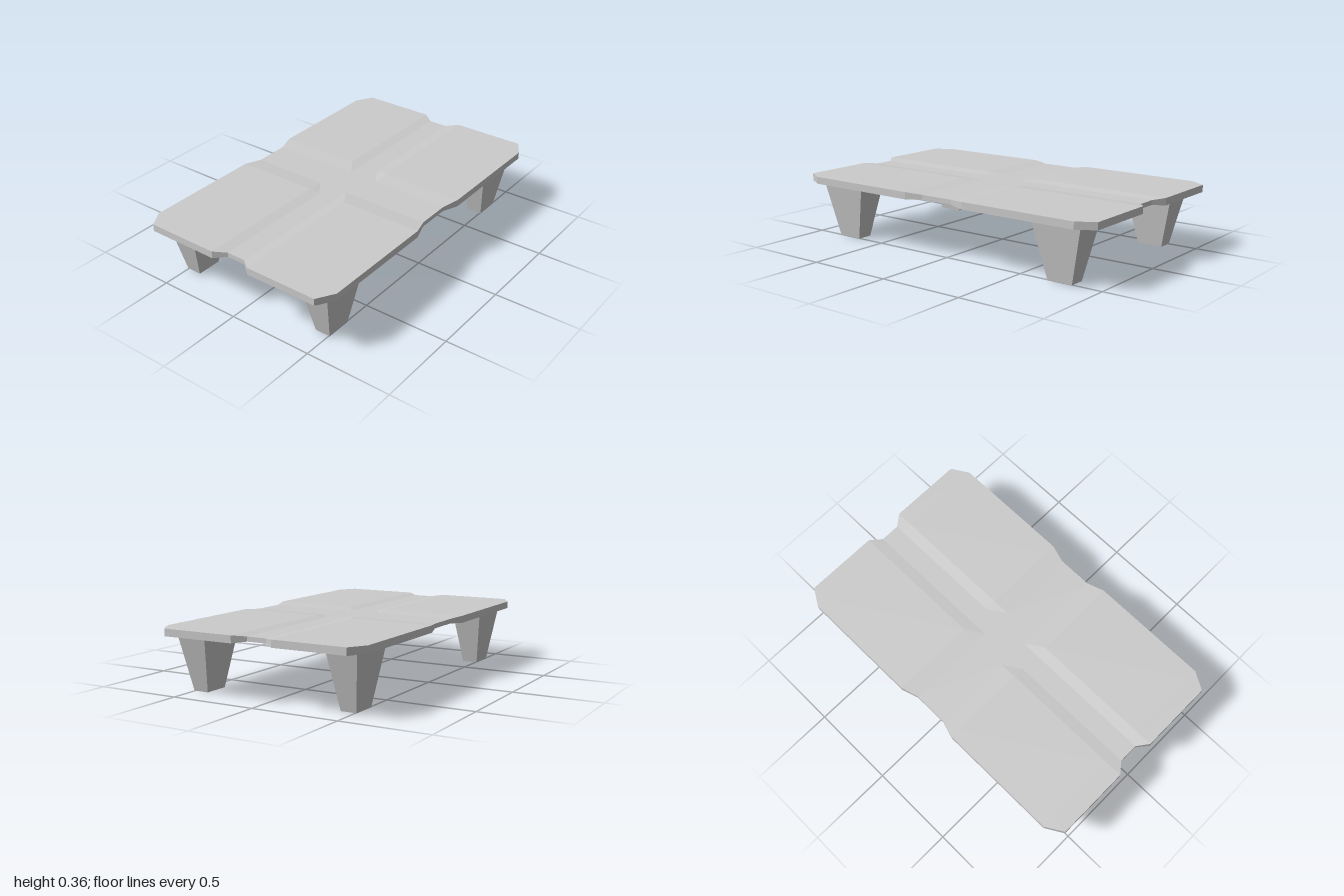
import * as THREE from 'three';

const material = new THREE.MeshStandardMaterial({ color: 0xcccccc, flatShading: true });

// Slab as a 7 x 7 grid: shallow cross-shaped groove, notched sides, cut corners
function createTop() {
  const xs = [-1, -0.9, -0.2, -0.1, 0.1, 0.2, 0.9, 1];
  const zs = [-0.612, -0.552, -0.122, -0.057, 0.057, 0.122, 0.552, 0.612];
  const last = 7;
  const isEnd = (i) => i === 0 || i === last;
  const isGroove = (i) => i === 3 || i === 4;
  const geometry = new THREE.BoxGeometry(last, 1, last, last, 1, last);
  const p = geometry.attributes.position;

  for (let i = 0; i < p.count; i++) {
    const ix = Math.round(p.getX(i) + last / 2);
    const iz = Math.round(p.getZ(i) + last / 2);
    let x = xs[ix];
    let z = zs[iz];
    // Pull in the corners and the ends of the grooves
    const corner = isEnd(ix) && isEnd(iz);
    if (isEnd(ix) && (corner || isGroove(iz))) x = Math.sign(x) * 0.95;
    if (isEnd(iz) && (corner || isGroove(ix))) z = Math.sign(z) * 0.582;
    const half = isGroove(ix) || isGroove(iz) ? 0.013 : 0.0205;
    p.setXYZ(i, x, 0.3405 + Math.sign(p.getY(i)) * half, z);
  }
  const flat = geometry.toNonIndexed();
  flat.computeVertexNormals();
  const top = new THREE.Mesh(flat, material);
  top.name = 'tabletop';
  return top;
}

// Square-sided leg tapering to half its width at the foot
function createLeg(sx, sz) {
  const height = 0.32;
  const geometry = new THREE.BoxGeometry(0.3, height, 0.18);
  const p = geometry.attributes.position;
  for (let i = 0; i < p.count; i++) {
    if (p.getY(i) < 0) {
      p.setX(i, p.getX(i) * 0.5);
      p.setZ(i, p.getZ(i) * 0.5);
    }
  }
  geometry.computeVertexNormals();
  const leg = new THREE.Mesh(geometry, material);
  leg.position.set(sx * 0.75, height / 2, sz * 0.46);
  leg.name = (sz > 0 ? 'front' : 'back') + (sx > 0 ? 'Left' : 'Right') + 'Leg';
  return leg;
}

export function createModel() {
  const group = new THREE.Group();
  group.name = 'lowTable';
  group.add(createTop());
  for (const sx of [-1, 1]) for (const sz of [-1, 1]) group.add(createLeg(sx, sz));
  return group;
}
